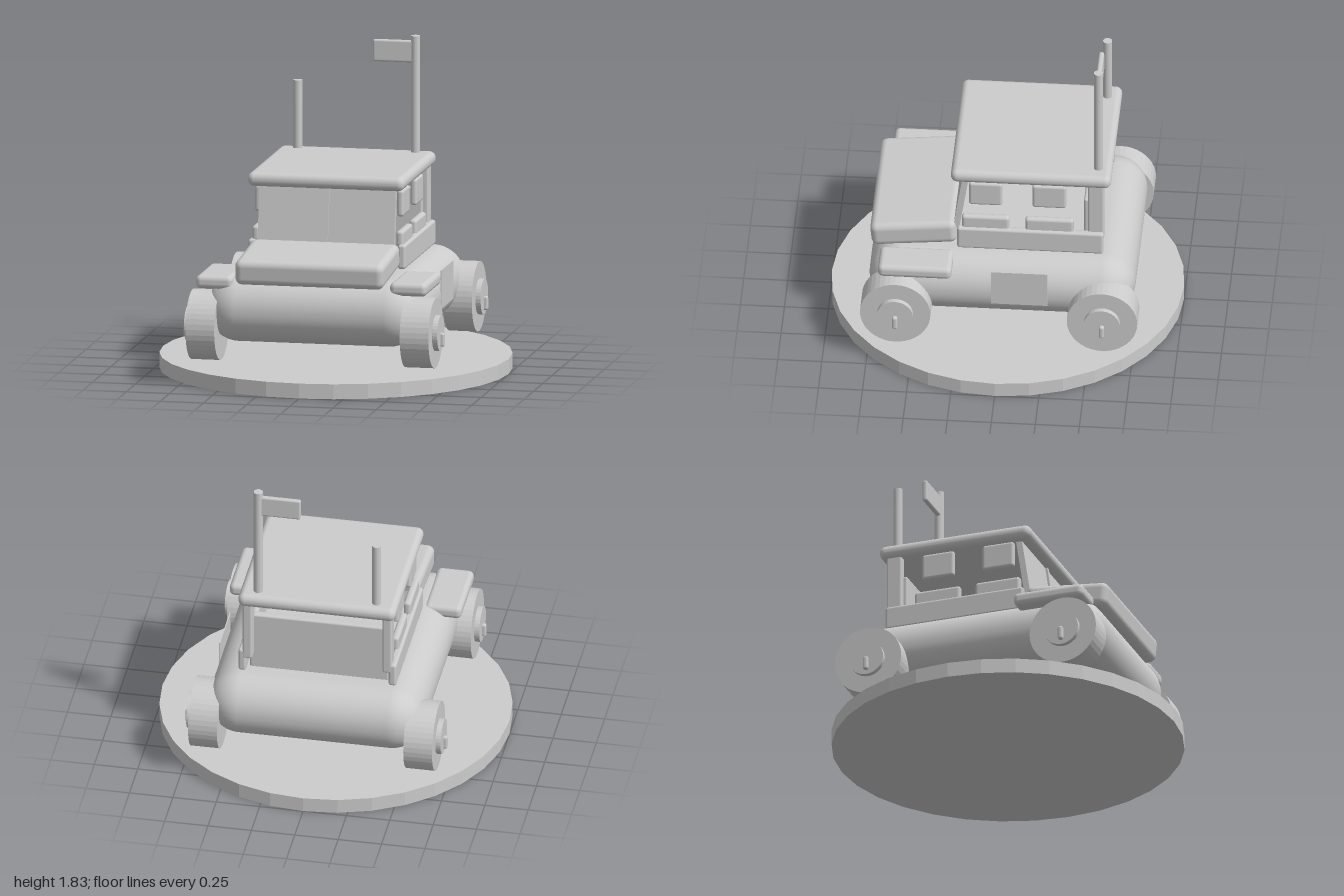
import * as THREE from 'three';
import { RoundedBoxGeometry } from 'three/addons/geometries/RoundedBoxGeometry.js';

export function createModel() {
  const model = new THREE.Group();
  model.name = 'vehicleOnStand';
  const grey = new THREE.MeshStandardMaterial({ color: 0xcccccc });
  grey.name = 'light grey';

  function add(name, geometry, x, y, z, parent = model) {
    const mesh = new THREE.Mesh(geometry, grey);
    mesh.name = name;
    mesh.position.set(x, y, z);
    parent.add(mesh);
    return mesh;
  }
  // Rounded box given by its extents on each axis
  function block(name, [x0, x1], [y0, y1], [z0, z1], r, segments = 3) {
    const g = new RoundedBoxGeometry(x1 - x0, y1 - y0, z1 - z0, segments, r);
    return add(name, g, (x0 + x1) / 2, (y0 + y1) / 2, (z0 + z1) / 2);
  }
  // Cylinder with faceted sides
  function faceted(r, h, n) {
    const g = new THREE.CylinderGeometry(r, r, h, n).toNonIndexed();
    g.computeVertexNormals();
    return g;
  }

  // Round stand
  add('stand', faceted(1, 0.086, 32), 0, 0.043, 0);

  // Soft lower hull, sloping hood
  block('hull', [-0.62, 0.62], [0.24, 0.62], [-0.758, 0.752], 0.187, 8);
  const hood = block('hood', [-0.43, 0.43], [0.61, 0.755], [0.26, 0.75], 0.04);
  hood.rotation.x = 0.1;

  // Wheels with hub and key
  for (const side of [1, -1]) {
    for (const z of [0.587, -0.587]) {
      const wheel = new THREE.Group();
      wheel.name = (side > 0 ? 'left' : 'right') + (z > 0 ? 'FrontWheel' : 'RearWheel');
      wheel.position.set(side * 0.62, 0.33, z);
      model.add(wheel);
      add('tyre', faceted(0.2, 0.166, 40), 0, 0, 0, wheel).rotation.z = Math.PI / 2;
      add('hub', faceted(0.102, 0.06, 32), side * 0.083, 0, 0, wheel).rotation.z = Math.PI / 2;
      add('hubKey', new RoundedBoxGeometry(0.06, 0.08, 0.03, 2, 0.012), side * 0.105, -0.037, 0, wheel);
    }
  }

  // Cab sides, mirrored
  for (const side of [1, -1]) {
    const span = (a, b) => (side > 0 ? [a, b] : [-b, -a]);
    block('fender', span(0.455, 0.668), [0.55, 0.627], [0.272, 0.69], 0.03);
    block('sidePanel', span(0.41, 0.455), [0.625, 0.765], [-0.575, 0.255], 0.015);
    for (const z of [[-0.04, 0.23], [-0.405, -0.13]])
      block('doorTop', span(0.395, 0.438), [0.75, 0.84], z, 0.018);
    for (const z of [[0, 0.19], [-0.363, -0.17]])
      block('sideWindow', span(0.392, 0.43), [0.915, 1.068], z, 0.016);
    block('rearPost', span(0.375, 0.43), [0.71, 1.09], [-0.577, -0.485], 0.012);
  }
  block('rearPanel', [-0.4, 0.4], [0.61, 0.967], [-0.51, -0.462], 0.012);

  // Leaning windshield with a centre bar
  const windshield = new THREE.Group();
  windshield.name = 'windshield';
  windshield.position.set(0, 0.91, 0.236);
  windshield.rotation.x = -0.15;
  model.add(windshield);
  add('pane', new THREE.BoxGeometry(0.79, 0.36, 0.035), 0, 0, 0, windshield);
  add('centreBar', new THREE.BoxGeometry(0.025, 0.36, 0.05), 0, 0, 0.005, windshield);

  // Roof
  block('roof', [-0.455, 0.452], [1.075, 1.155], [-0.617, 0.293], 0.038, 4);

  // Masts and flag
  function mast(name, x, top) {
    const h = top - 1.14;
    add(name, new THREE.CylinderGeometry(0.026, 0.026, h, 20), x, 1.14 + h / 2, -0.54);
  }
  mast('shortMast', -0.337, 1.545);
  mast('flagMast', 0.345, 1.825);
  block('flag', [0.1, 0.335], [1.67, 1.797], [-0.555, -0.525], 0.012);

  // Thin plate on the left flank
  add('sidePlate', new THREE.BoxGeometry(0.006, 0.22, 0.32), 0.619, 0.48, -0.11);

  return model;
}
